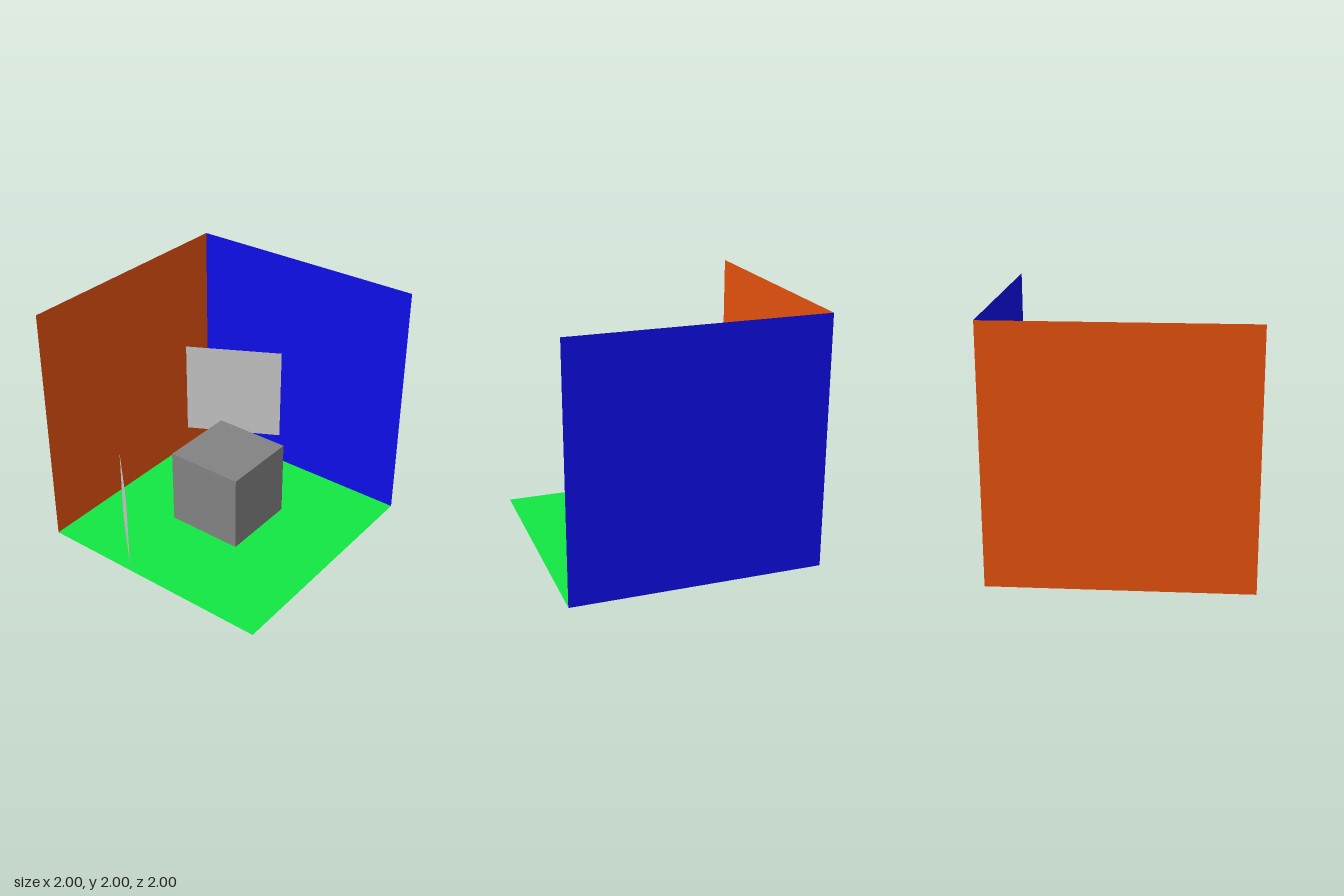
import * as THREE from 'three';

const material = (name, color, side = THREE.DoubleSide) => {
  const m = new THREE.MeshStandardMaterial({ color, side });
  m.name = name;
  return m;
};

export function createModel() {
  const group = new THREE.Group();
  group.name = 'roomCorner';

  const blue = material('blue', 0x0e0ee7);
  const orange = material('orange', 0xe3510e);
  const green = material('green', 0x11e742);
  const darkGrey = material('darkGrey', 0x828282, THREE.FrontSide);
  const lightGrey = material('lightGrey', 0xc8c8c8);

  const add = (name, geometry, mat) => {
    const mesh = new THREE.Mesh(geometry, mat);
    mesh.name = name;
    group.add(mesh);
    return mesh;
  };

  // Upright flat panel standing between two floor points [x, z]
  const panel = (name, [x0, z0], [x1, z1], bottom, top, mat) => {
    const width = Math.hypot(x1 - x0, z1 - z0);
    const mesh = add(name, new THREE.PlaneGeometry(width, top - bottom), mat);
    mesh.position.set((x0 + x1) / 2, (bottom + top) / 2, (z0 + z1) / 2);
    mesh.rotation.y = -Math.atan2(z1 - z0, x1 - x0);
  };

  // Floor, a hair above the underside of the box
  const floor = add('floor', new THREE.PlaneGeometry(2, 2), green);
  floor.rotation.x = -Math.PI / 2;
  floor.position.y = 0.003;

  // Two walls meeting in the back corner
  panel('backWall', [-1, -1], [1, -1], 0, 2, blue);
  panel('sideWall', [-1, 1], [-1, -1], 0, 2, orange);

  // Free-standing panels
  panel('backPanel', [-0.86, -0.53], [-0.13, -0.925], 0.32, 1.145, lightGrey);
  panel('frontPanel', [-0.71, 0.52], [-0.23, 0.97], 0.01, 0.66, lightGrey);

  // Box on the floor
  const box = add('box', new THREE.BoxGeometry(0.65, 0.65, 0.65), darkGrey);
  box.position.set(-0.045, 0.325, -0.065);

  return group;
}
